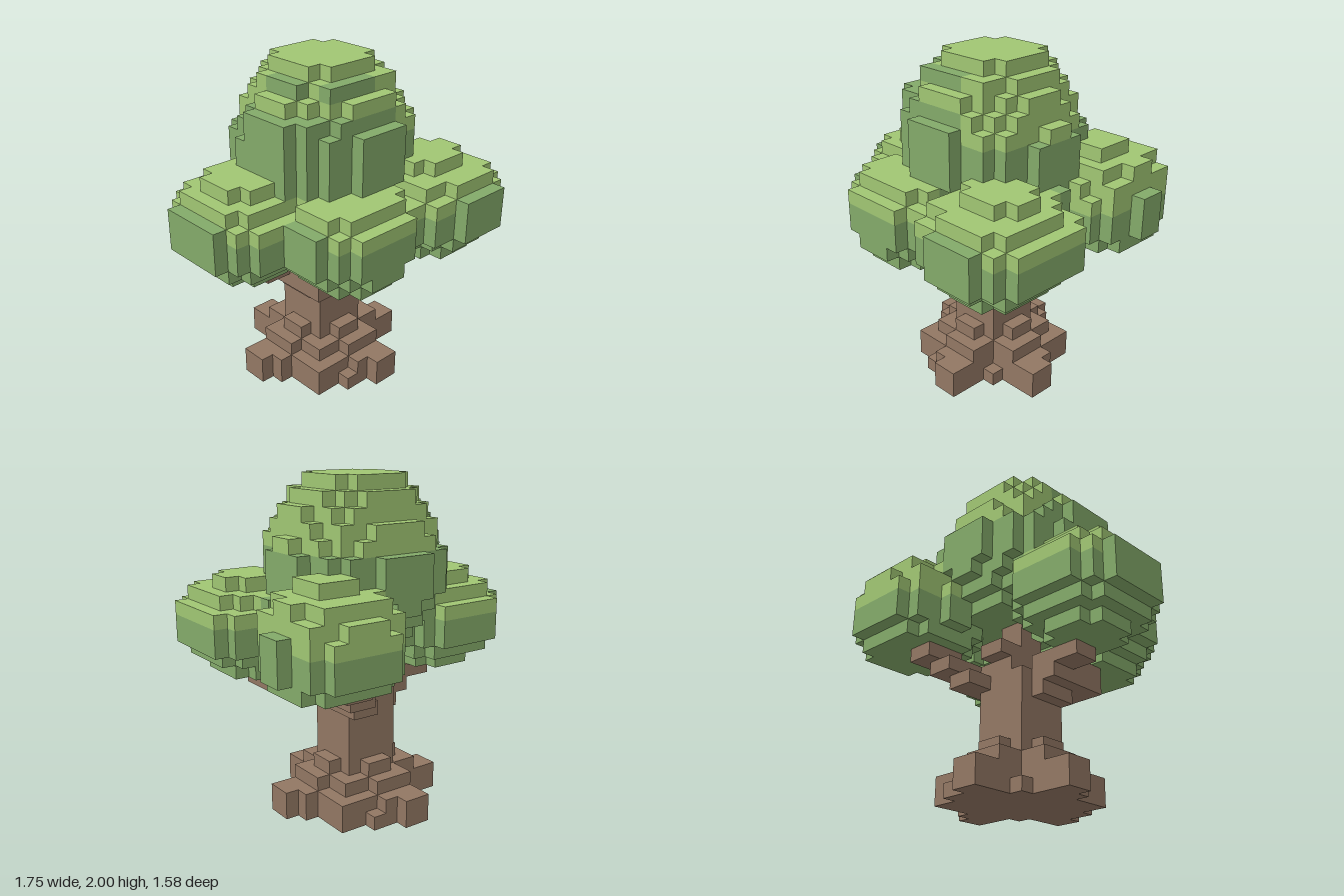
import * as THREE from 'three';

const CELL = 1 / 12;              // edge of one cube
const OFFSET = [0.5 * CELL, 0, -0.5 * CELL]; // trunk axis relative to the centre

const cells = new Map();          // "x,y,z" -> part name
const key = (x, y, z) => `${x},${y},${z}`;
const put = (x, y, z, part) => {
  if (!cells.has(key(x, y, z))) cells.set(key(x, y, z), part);
};

// Fill a block of cubes between two corners (upper corner excluded)
function block(part, x0, x1, y0, y1, z0, z1) {
  for (let x = x0; x < x1; x++)
    for (let y = y0; y < y1; y++)
      for (let z = z0; z < z1; z++) put(x, y, z, part);
}

// A root block and its half-turn copy
function rootPair(x0, x1, y0, y1, z0, z1) {
  block('roots', x0, x1, y0, y1, z0, z1);
  block('roots', -x1, -x0, y0, y1, -z1, -z0);
}

// Stack of discs, one radius per layer; shade(x, y, z, dx, dz) is true where the leaf is light
function discs(name, cx, cz, y0, radii, shade) {
  radii.forEach((r, i) => {
    const y = y0 + i;
    for (let x = -12; x < 12; x++)
      for (let z = -12; z < 12; z++) {
        const dx = x + 0.5 - cx, dz = z + 0.5 - cz;
        if (Math.hypot(dx, dz) < r)
          put(x, y, z, name + (shade(x, y, z, dx, dz) ? 'Light' : 'Dark'));
      }
  });
}

function buildTrunk() {
  block('trunk', -2, 2, 0, 9, -2, 2);
  // root flare: four arms stepping up to the trunk
  for (const [reach, y0, y1, a, b] of [[6, 0, 2, 0, 2], [5, 0, 2, -1, 2], [4, 2, 3, -1, 2], [3, 3, 4, -1, 1]]) {
    rootPair(a, b, y0, y1, 2, reach);
    rootPair(2, reach, y0, y1, a, b);
  }
  // fillers between the arms
  rootPair(-4, -1, 0, 2, 1, 4);
  rootPair(-3, -1, 2, 3, 1, 3);
  rootPair(2, 3, 0, 1, 2, 3);
  rootPair(-2, -1, 0, 1, 4, 5);
  // front right branch
  block('branches', -3, -2, 7, 9, -1, 2);
  block('branches', -4, -1, 8, 10, 1, 4);
  block('branches', -3, -1, 9, 11, 3, 5);
  // right branch
  block('branches', -4, -2, 8, 9, -1, 1);
  block('branches', -6, -2, 9, 10, -1, 1);
  // front left branch
  block('branches', 1, 4, 8, 9, 1, 4);
  block('branches', 2, 6, 9, 10, 2, 5);
  block('branches', 2, 5, 10, 11, 3, 5);
  // back left branch
  block('branches', 1, 3, 8, 9, -4, -1);
  block('branches', 2, 4, 9, 10, -5, -2);
  block('branches', 3, 5, 10, 11, -6, -3);
  // central limb
  block('branches', -1, 2, 9, 10, -2, 2);
  block('branches', -1, 1, 10, 11, -3, 1);
  block('branches', -1, 1, 11, 12, -1, 1);
  block('branches', -1, 1, 12, 14, -1, 0);
}

function buildLeaves() {
  // crown with dark patches on its front and right
  const crownShade = (x, y, z) => {
    if (y < 19) return false;
    if (y < 21) return !(x < 2 && (z >= 3 || x < -4));
    if (y === 22) return !(x < 1 && (z >= 3 || x < -3) && z >= -1);
    return true;
  };
  discs('crown', 0, 0, 13, [4.2, 5.1, 5.6, 5.8, 5.8, 5.8], crownShade);
  discs('crown', 0, 0.2, 19, [5.6, 5.1, 4.7, 4.15, 3.3], crownShade);
  block('crownDark', 6, 7, 14, 16, 0, 1);
  block('crownDark', -6, -5, 16, 21, -1, 3);
  block('crownDark', -5, -4, 20, 21, -2, 4);

  // four lower clusters: centre, lowest layer, layer radii, side whose rim is dark
  const clusters = [
    ['frontLeftCluster', 5.6, 5.2, 10, [2.9, 3.8, 4.75, 4.75, 4.75, 3.9, 2.2], [0, 1]],
    ['backLeftCluster', 5.5, -5, 11, [3.4, 4.25, 4.25, 4.25, 3.95, 3.3], [1, 0]],
    ['frontRightCluster', -2.5, 5.2, 10, [2.7, 3.5, 4.25, 4.25, 4.25, 3.3], [-1, 0]],
    ['rightCluster', -6.5, -0.5, 10, [2.8, 3.7, 4.6, 4.6, 4.6, 3.7, 2.7], [-1, 0]],
  ];
  for (const [name, cx, cz, y0, radii, [rx, rz]] of clusters)
    discs(name, cx, cz, y0, radii, (x, y, z, dx, dz) =>
      y > 14 || (y === 14 && dx * rx + dz * rz < 3.4));
  block('backLeftClusterLight', 4, 7, 17, 18, -6, -3);
}

// Surface of one part: only the cube sides that touch air
function surface(part) {
  const pos = [], nor = [], idx = [];
  for (const [k, p] of cells) {
    if (p !== part) continue;
    const c = k.split(',').map(Number);
    for (let axis = 0; axis < 3; axis++)
      for (const s of [-1, 1]) {
        const n = [0, 0, 0];
        n[axis] = s;
        if (cells.has(key(c[0] + n[0], c[1] + n[1], c[2] + n[2]))) continue;
        const u = (axis + 1) % 3, v = (axis + 2) % 3, base = pos.length / 3;
        for (const [a, b] of [[0, 0], [1, 0], [1, 1], [0, 1]]) {
          const q = [...c];
          q[axis] += s > 0 ? 1 : 0;
          q[u] += a;
          q[v] += b;
          pos.push(...q.map((w, i) => w * CELL + OFFSET[i]));
          nor.push(...n);
        }
        const order = s > 0 ? [0, 1, 2, 0, 2, 3] : [0, 2, 1, 0, 3, 2];
        idx.push(...order.map((i) => base + i));
      }
  }
  const g = new THREE.BufferGeometry();
  g.setAttribute('position', new THREE.Float32BufferAttribute(pos, 3));
  g.setAttribute('normal', new THREE.Float32BufferAttribute(nor, 3));
  g.setIndex(idx);
  return g;
}

export function createModel() {
  cells.clear();
  buildTrunk();
  buildLeaves();
  const bark = new THREE.MeshStandardMaterial({ color: 0x927763 });
  const light = new THREE.MeshStandardMaterial({ color: 0xa0c673 });
  const dark = new THREE.MeshStandardMaterial({ color: 0x83aa69 });
  const model = new THREE.Group();
  model.name = 'tree';
  for (const part of new Set(cells.values())) {
    const material = part.endsWith('Light') ? light : part.endsWith('Dark') ? dark : bark;
    const mesh = new THREE.Mesh(surface(part), material);
    mesh.name = part;
    model.add(mesh);
  }
  return model;
}
